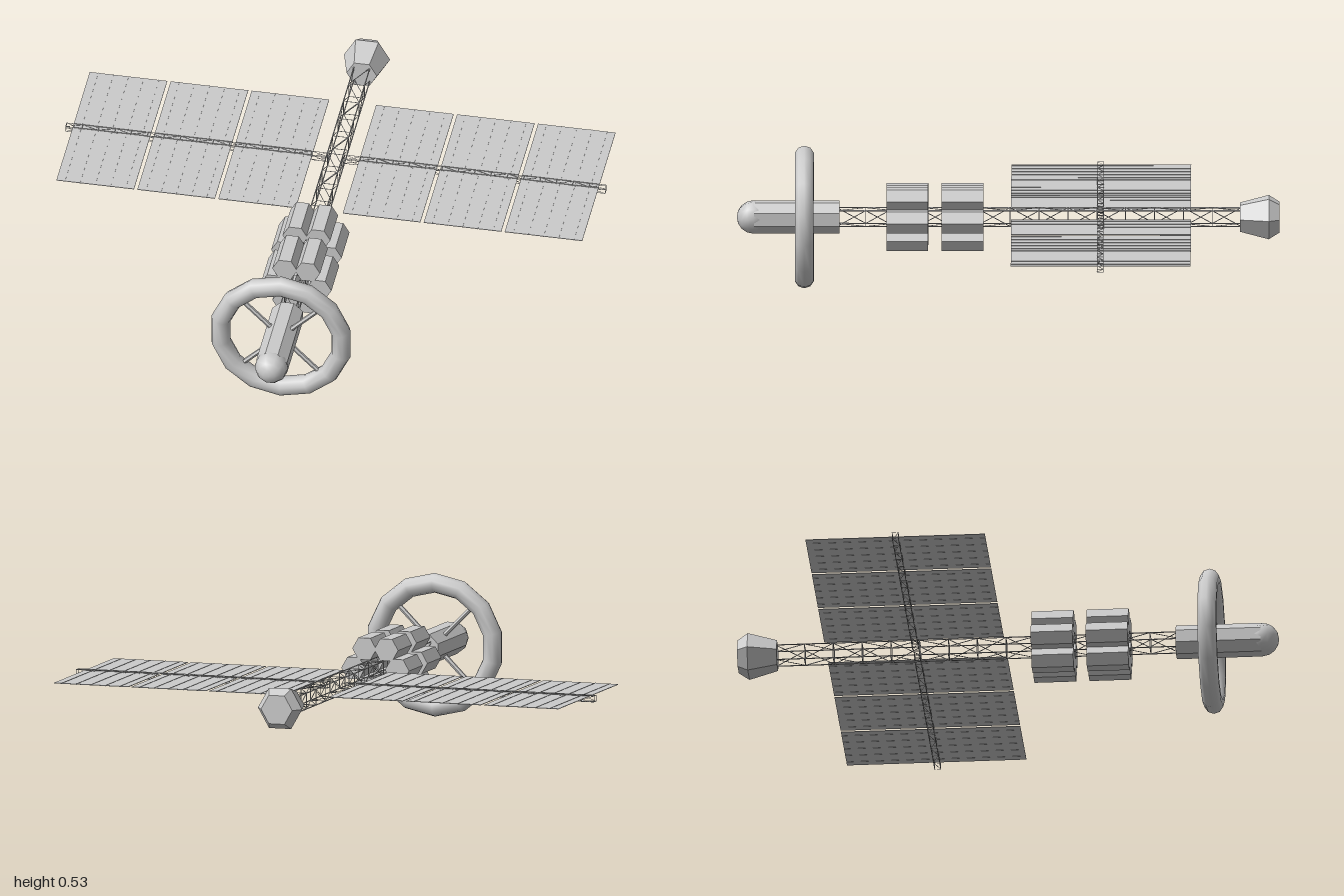
import * as THREE from 'three';

const mat = new THREE.MeshStandardMaterial({ color: 0xcccccc, side: THREE.DoubleSide });
const flat = new THREE.MeshStandardMaterial({ color: 0xcccccc, flatShading: true, side: THREE.DoubleSide });
const AXIS_Y = 0.264;

function add(parent, name, geometry, material = flat) {
  const mesh = new THREE.Mesh(geometry, material);
  mesh.name = name;
  parent.add(mesh);
  return mesh;
}

// Thin strut between two points
function strut(parent, name, a, b, radius, sides = 4) {
  const dir = new THREE.Vector3().subVectors(b, a);
  const mesh = add(parent, name, new THREE.CylinderGeometry(radius, radius, dir.length(), sides));
  mesh.position.addVectors(a, b).multiplyScalar(0.5);
  mesh.quaternion.setFromUnitVectors(new THREE.Vector3(0, 1, 0), dir.normalize());
  return mesh;
}

// Square lattice girder running along z, with frames and zigzag braces
function truss(name, z0, z1, half, bays, radius) {
  const group = new THREE.Group();
  group.name = name;
  const corners = [[-half, -half], [half, -half], [half, half], [-half, half]];
  const at = (i, z) => new THREE.Vector3(corners[i % 4][0], corners[i % 4][1], z);
  const step = (z1 - z0) / bays;
  for (let i = 0; i < 4; i++) {
    strut(group, 'longeron', at(i, z0), at(i, z1), radius);
    for (let b = 0; b <= bays; b++) {
      const z = z0 + b * step;
      strut(group, 'crossbar', at(i, z), at(i + 1, z), radius * 0.7);
      if (b < bays) {
        const flip = b % 2;
        strut(group, 'brace', at(i + flip, z), at(i + 1 - flip, z + step), radius * 0.7);
      }
    }
  }
  return group;
}

export function createModel() {
  const model = new THREE.Group();
  model.name = 'spacecraft';
  const ship = new THREE.Group();
  ship.name = 'ship';
  ship.position.y = AXIS_Y;
  model.add(ship);

  // Spine
  ship.add(truss('spineTruss', -0.845, 0.62, 0.029, 14, 0.0022));

  // Command module with rounded nose
  const body = add(ship, 'commandModule', new THREE.CylinderGeometry(0.061, 0.061, 0.31, 8));
  body.rotation.set(Math.PI / 2, Math.PI / 8, 0);
  body.position.z = 0.765;
  const nose = add(ship, 'nose', new THREE.SphereGeometry(0.061, 10, 8), mat);
  nose.rotation.x = Math.PI / 2;
  nose.position.z = 0.922;

  // Habitat ring and spokes
  const ring = add(ship, 'habitatRing', new THREE.TorusGeometry(0.227, 0.036, 10, 14), mat);
  ring.rotation.z = Math.PI / 14;
  ring.position.z = 0.738;
  for (let i = 0; i < 4; i++) {
    const a = Math.PI / 4 + i * Math.PI / 2;
    const point = r => new THREE.Vector3(Math.cos(a) * r, Math.sin(a) * r, 0.738);
    strut(ship, 'spoke', point(0.04), point(0.215), 0.009, 6);
  }

  // Two clusters of six propellant tanks
  for (const z of [0.365, 0.165]) {
    for (let i = 0; i < 6; i++) {
      const a = i * Math.PI / 3;
      const tank = new THREE.Group();
      tank.name = 'tank';
      tank.position.set(Math.cos(a) * 0.084, Math.sin(a) * 0.084, z);
      tank.rotation.z = a;
      ship.add(tank);
      const shell = add(tank, 'tankShell', new THREE.CylinderGeometry(0.046, 0.046, 0.152, 6));
      shell.rotation.set(Math.PI / 2, Math.PI / 6 * (z > 0.3 ? 1 : 3), 0);
    }
  }

  // Engine bell with faceted closed end
  const profile = [[0, 0.84], [0.056, 0.84], [0.085, 0.945], [0.06, 0.983], [0, 0.983]];
  const engine = add(ship, 'engine',
    new THREE.LatheGeometry(profile.map(p => new THREE.Vector2(...p)), 6));
  engine.rotation.set(-Math.PI / 2, Math.PI / 6, 0);

  // Solar wings: boom, three panels and thin ribs each side
  for (const side of [-1, 1]) {
    const wing = new THREE.Group();
    wing.name = side > 0 ? 'leftWing' : 'rightWing';
    ship.add(wing);
    const boom = truss('wingBoom', 0.03, 0.995, 0.011, 16, 0.0013);
    boom.rotation.y = side * Math.PI / 2;
    boom.position.z = -0.335;
    wing.add(boom);
    for (let p = 0; p < 3; p++) {
      const x = side * (0.2295 + p * 0.2985);
      const panel = add(wing, 'solarPanel', new THREE.BoxGeometry(0.286, 0.002, 0.652));
      panel.position.set(x, 0.006, -0.337);
      for (let r = -2; r <= 2; r++) {
        const rib = add(wing, 'panelRib', new THREE.BoxGeometry(0.002, 0.004, 0.652));
        rib.position.set(x + r * 0.056, 0.006, -0.337);
      }
    }
  }
  return model;
}
